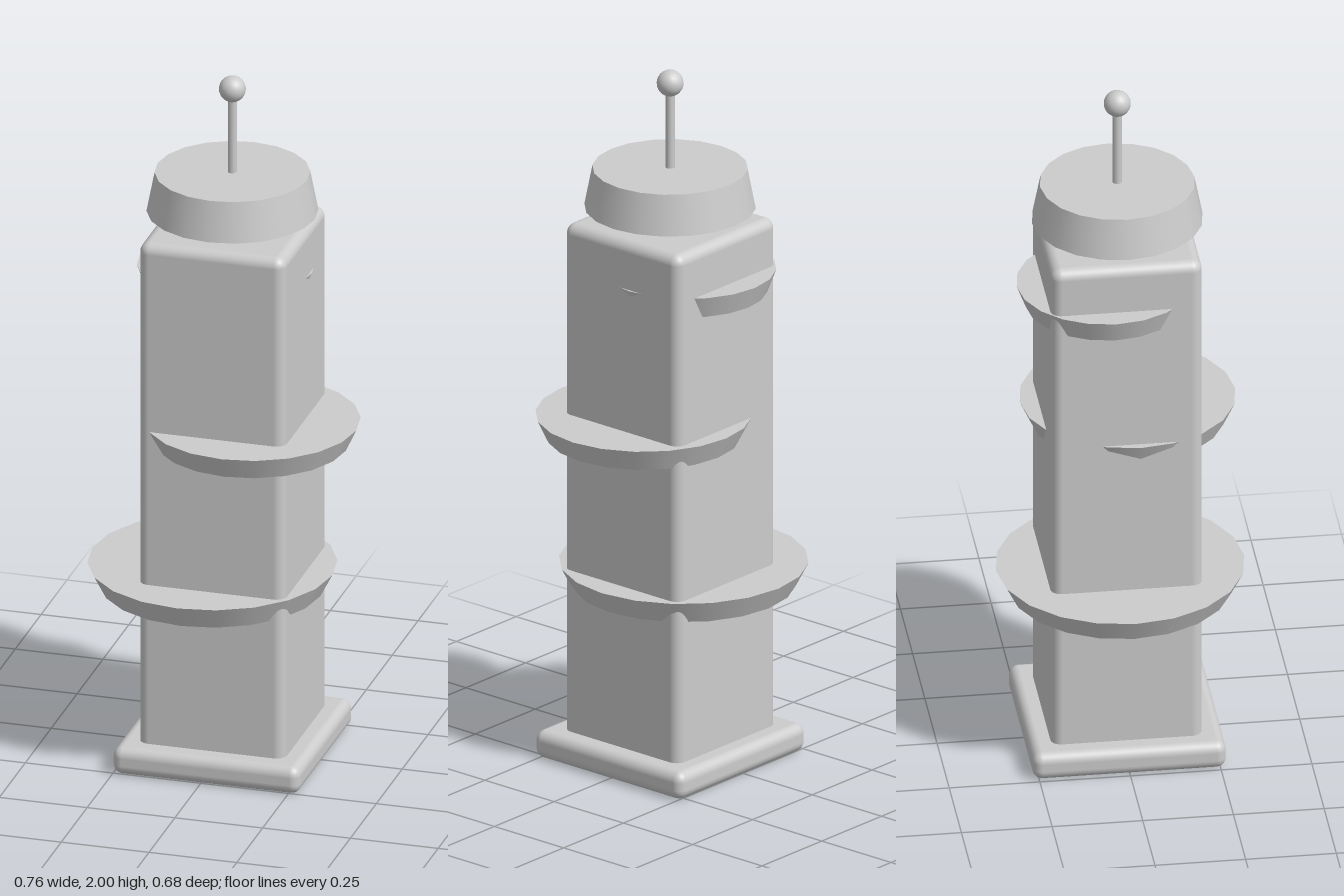
import * as THREE from 'three';
import { RoundedBoxGeometry } from 'three/addons/geometries/RoundedBoxGeometry.js';

export function createModel() {
  const model = new THREE.Group();
  model.name = 'tower';
  const gray = new THREE.MeshStandardMaterial({ color: 0xcccccc });
  gray.name = 'light gray';
  const CX = 0.016, CZ = -0.001; // tower axis

  const add = (name, geometry, y, x = CX, z = CZ) => {
    const mesh = new THREE.Mesh(geometry, gray);
    mesh.name = name;
    mesh.position.set(x, y, z);
    model.add(mesh);
  };
  // Places a round part between two heights
  const round = (name, rTop, rBottom, y0, y1, sides, x, z) =>
    add(name, new THREE.CylinderGeometry(rTop, rBottom, y1 - y0, sides), (y0 + y1) / 2, x, z);
  // Places a square rounded block between two heights
  const block = (name, width, y0, y1, radius) =>
    add(name, new RoundedBoxGeometry(width, y1 - y0, width, 4, radius), (y0 + y1) / 2);

  // Plinth and shaft
  block('base', 0.533, 0.006, 0.08, 0.027);
  model.children[0].position.y -= 0.003;
  model.children[0].scale.y = 0.08 / 0.074;
  block('shaft', 0.417, 0.05, 1.562, 0.03);

  // Off-centre balcony discs: [top radius, bottom y, top y, x, z]
  [
    [0.342, 0.486, 0.552, -0.041, -0.001],
    [0.297, 0.943, 1.007, 0.083, 0.036],
    [0.244, 1.361, 1.425, -0.013, -0.038],
  ].forEach(([r, y0, y1, x, z], i) =>
    round(`balcony${i + 1}`, r, r * 0.9, y0, y1, 20, x, z));

  // Neck, cap and antenna
  round('neck', 0.093, 0.093, 1.54, 1.62, 20);
  round('cap', 0.213, 0.235, 1.603, 1.717, 20);
  round('antenna', 0.013, 0.013, 1.70, 1.95, 12);
  add('antennaBall', new THREE.SphereGeometry(0.037, 20, 14), 1.963);

  return model;
}
